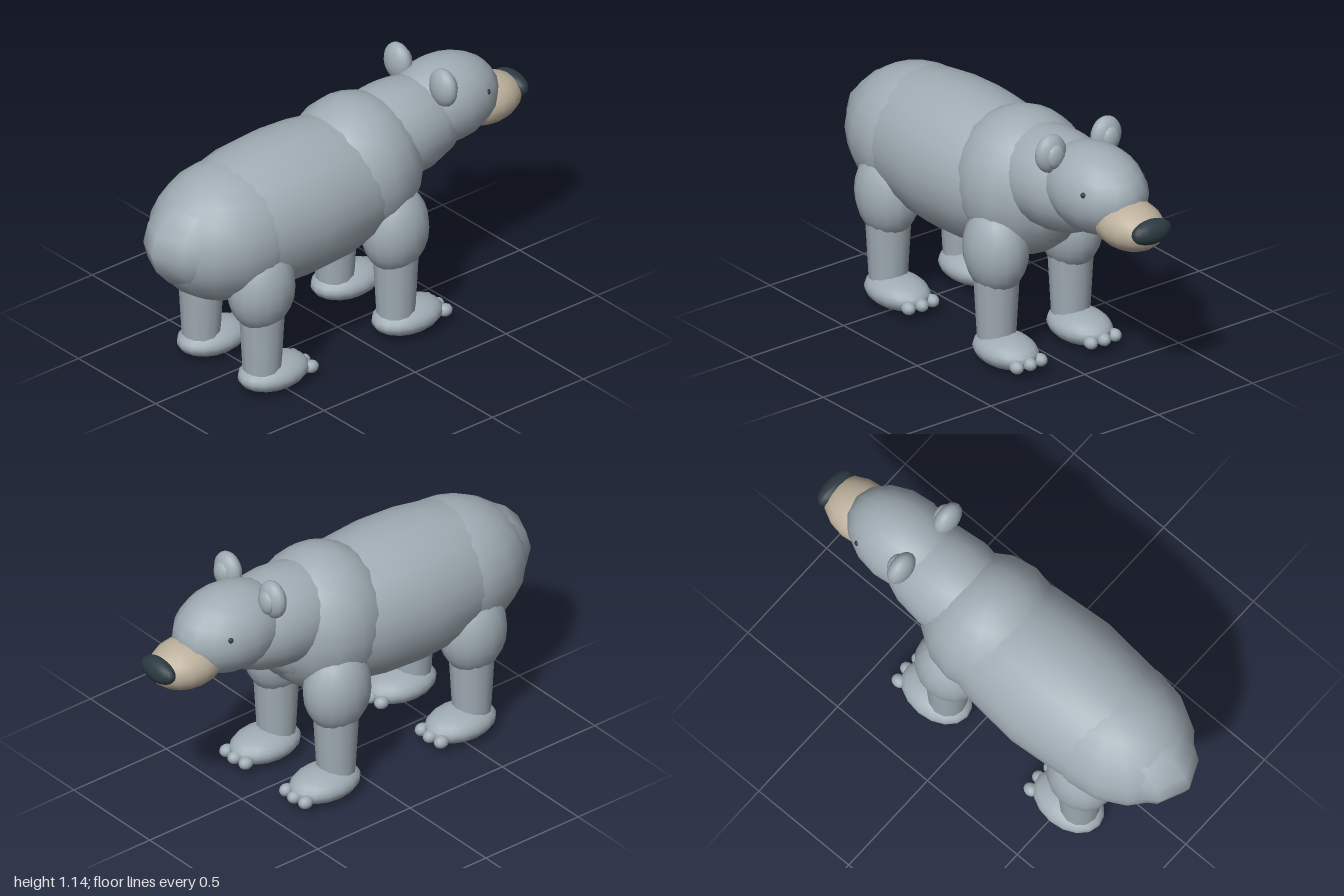
import * as THREE from 'three';

const material = (name, color) => {
  const m = new THREE.MeshStandardMaterial({ color });
  m.name = name;
  return m;
};

export function createModel() {
  const bear = new THREE.Group();
  bear.name = 'bear';

  const fur = material('greyFur', 0xa0acb4);
  const muzzle = material('beigeMuzzle', 0xbcb09c);
  const dark = material('darkNose', 0x2c3a42);

  const ball = new THREE.SphereGeometry(1, 16, 12);
  const smallBall = new THREE.SphereGeometry(1, 12, 8);

  // Ellipsoid at a centre with three radii
  function blob(parent, name, mat, centre, radii, geometry = ball) {
    const mesh = new THREE.Mesh(geometry, mat);
    mesh.name = name;
    mesh.position.set(...centre);
    mesh.scale.set(...radii);
    parent.add(mesh);
    return mesh;
  }

  // Torso, from tail to neck
  blob(bear, 'tail', fur, [0, 0.75, 0.94], [0.08, 0.07, 0.06], smallBall);
  blob(bear, 'rump', fur, [0, 0.71, 0.6], [0.3, 0.303, 0.37]);
  blob(bear, 'belly', fur, [0, 0.72, 0.3], [0.318, 0.327, 0.72]);
  blob(bear, 'chest', fur, [0, 0.755, -0.08], [0.295, 0.325, 0.3]);
  blob(bear, 'neck', fur, [0, 0.847, -0.3], [0.217, 0.217, 0.36]);

  // Head, snout and nose
  blob(bear, 'head', fur, [0, 0.9, -0.57], [0.195, 0.192, 0.27]);
  blob(bear, 'snout', muzzle, [0, 0.815, -0.8], [0.135, 0.107, 0.18]);
  const nose = blob(bear, 'nose', dark, [0, 0.835, -0.953], [0.1, 0.054, 0.047]);
  nose.rotation.x = 0.15;

  // Ears and eyes, mirrored
  for (const side of [-1, 1]) {
    blob(bear, 'ear', fur, [side * 0.147, 1.055, -0.455], [0.075, 0.086, 0.047]);
    blob(bear, 'innerEar', fur, [side * 0.147, 1.052, -0.488], [0.045, 0.055, 0.028], smallBall);
    blob(bear, 'eye', dark, [side * 0.155, 0.95, -0.69], [0.014, 0.014, 0.014], smallBall);
  }

  // Legs with paws and three toes
  const shinGeometry = new THREE.CylinderGeometry(0.103, 0.082, 0.38, 12, 1);
  function addLeg(name, x, z, thighY) {
    const leg = new THREE.Group();
    leg.name = name;
    leg.position.set(x, 0, z);
    bear.add(leg);
    blob(leg, 'thigh', fur, [0, thighY, 0], [0.132, 0.2, 0.155]);
    const shin = new THREE.Mesh(shinGeometry, fur);
    shin.name = 'shin';
    shin.position.set(0, 0.28, -0.005);
    leg.add(shin);
    blob(leg, 'paw', fur, [0, 0.075, -0.067], [0.12, 0.071, 0.17]);
    for (const i of [-1, 0, 1]) {
      blob(leg, 'toe', fur, [i * 0.063, 0.063, i ? -0.222 : -0.23],
        [0.029, 0.028, 0.034], smallBall);
    }
  }
  for (const side of [-1, 1]) {
    addLeg('foreLeg', side * 0.197, -0.147, 0.516);
    addLeg('hindLeg', side * 0.197, 0.588, 0.506);
  }

  return bear;
}
